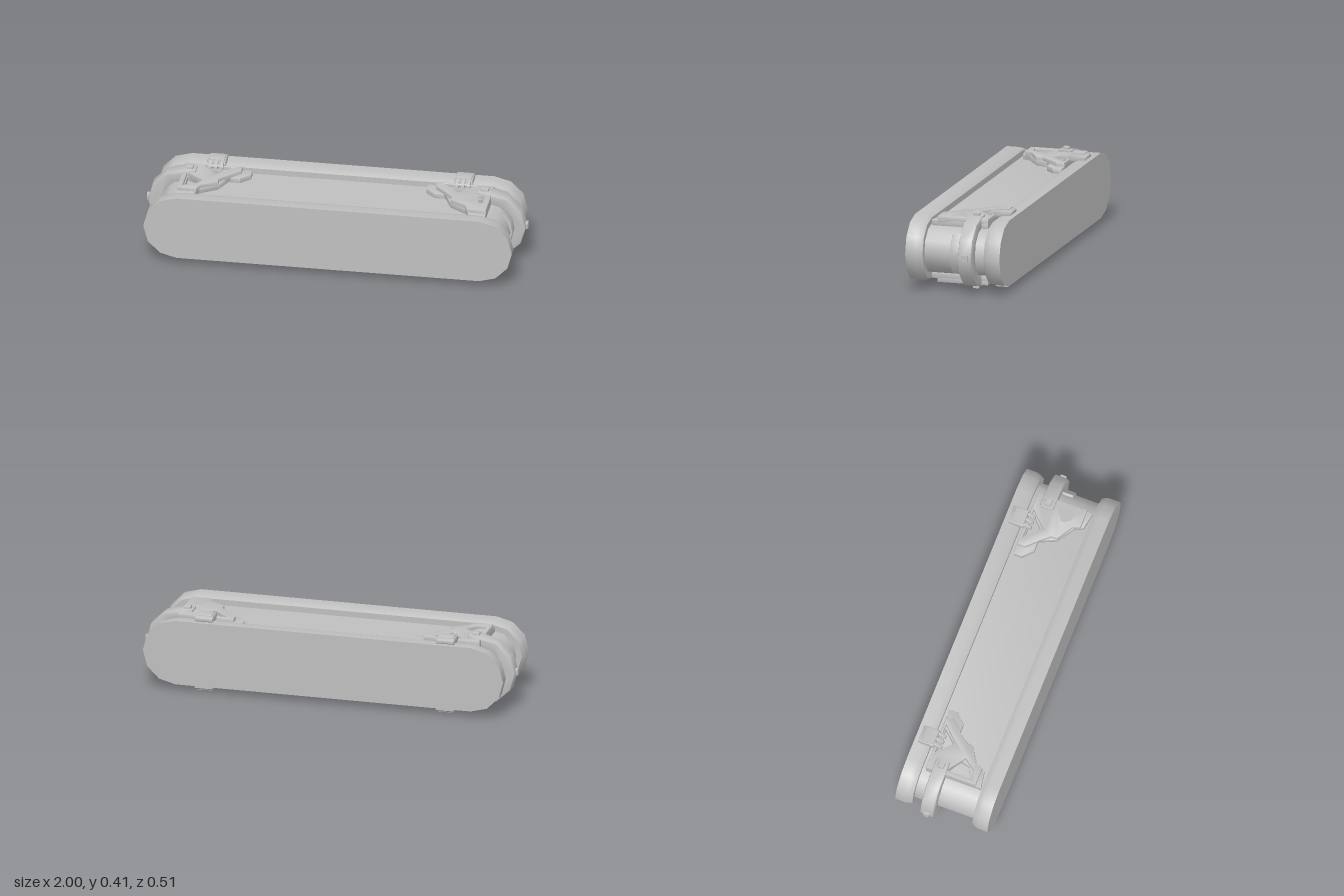
import * as THREE from 'three';
import { toCreasedNormals } from 'three/addons/utils/BufferGeometryUtils.js';

const CY = 0.207; // height of the long axis
const CX = 0.793; // centre of each rounded end

export function createModel() {
  const model = new THREE.Group();
  model.name = 'case';
  const grey = new THREE.MeshStandardMaterial({ color: 0xbfbfbf });
  grey.name = 'grey';

  const add = (parent, name, geometry) => {
    const mesh = new THREE.Mesh(toCreasedNormals(geometry, 0.7), grey);
    mesh.name = name;
    parent.add(mesh);
    return mesh;
  };

  // Capped stadium cross-sections [radius, z], listed from front to back
  function stadium(sections) {
    const pos = [], index = [], n = 14;
    for (const [r, z] of sections) {
      for (let i = 0; i < n; i++) {
        const right = i < 7;
        const a = -Math.PI / 2 + (right ? i : i - 1) * Math.PI / 6;
        pos.push((right ? CX : -CX) + r * Math.cos(a), r * Math.sin(a), z);
      }
    }
    const last = (sections.length - 1) * n;
    for (let i = 0; i < n; i++) {
      const j = (i + 1) % n;
      for (let k = 0; k < last; k += n) {
        index.push(k + i, k + n + i, k + j, k + j, k + n + i, k + n + j);
      }
      if (i > 0 && i < n - 1) index.push(0, i, i + 1, last, last + i + 1, last + i);
    }
    const g = new THREE.BufferGeometry();
    g.setAttribute('position', new THREE.Float32BufferAttribute(pos, 3));
    g.setIndex(index);
    return g.translate(0, CY, 0);
  }

  // Extrusion from 0 to depth whose bevel stays inside the outline
  function slab(points, depth, bevel, holes = []) {
    const shape = new THREE.Shape(points.map(p => new THREE.Vector2(...p)));
    for (const h of holes) shape.holes.push(new THREE.Path(h.map(p => new THREE.Vector2(...p))));
    return new THREE.ExtrudeGeometry(shape, {
      depth: depth - 2 * bevel, bevelEnabled: bevel > 0, bevelThickness: bevel,
      bevelSize: bevel, bevelOffset: -bevel, bevelSegments: 2, steps: 1,
    }).translate(0, 0, bevel);
  }

  // Horizontal plate drawn in x, z
  const plate = (s, y, depth, bevel, points, holes = []) => {
    const flat = list => list.map(([x, z]) => [s * x, -z]);
    return slab(flat(points), depth, bevel, holes.map(flat)).rotateX(-Math.PI / 2).translate(0, y, 0);
  };

  // Profile drawn in z, y and extruded along x
  const sideProfile = (x, width, bevel, points) =>
    slab(points.map(([z, y]) => [-z, y]), width, bevel)
      .rotateY(Math.PI / 2).translate(x - width / 2, 0, 0);

  const block = (w, h, d, x, y, z) => {
    const b = 0.006;
    return slab([[-w / 2, -h / 2], [w / 2, -h / 2], [w / 2, h / 2], [-w / 2, h / 2]], d, b)
      .translate(x, y, z - d / 2);
  };

  // Body and the two lids
  add(model, 'body', stadium([[0.129, 0.17], [0.129, -0.17]]));
  add(model, 'frontLid', stadium([[0.174, 0.256], [0.174, 0.2], [0.168, 0.18], [0.16, 0.166]]));
  add(model, 'backLid', stadium([[0.16, -0.165], [0.168, -0.18], [0.174, -0.2], [0.174, -0.255]]));

  // Curved strap around each end, with its end button
  const arc = (rx, ry, limit, steps) => Array.from({ length: steps + 1 }, (_, i) => {
    const a = -limit + 2 * limit * i / steps;
    return [CX + rx * Math.cos(a), ry * Math.sin(a)];
  });
  for (const s of [1, -1]) {
    const end = new THREE.Group();
    end.name = s > 0 ? 'leftStrap' : 'rightStrap';
    const outline = [[0.74, -0.187], ...arc(0.199, 0.187, Math.PI / 2, 6), [0.74, 0.187],
      [0.74, 0.125], ...arc(0.125, 0.125, Math.PI / 2, 6).reverse(), [0.74, -0.125]];
    add(end, 'strap', slab(outline.map(([x, y]) => [s * x, y]), 0.075, 0.01).translate(0, CY, -0.11));
    add(end, 'strapButton', block(0.03, 0.036, 0.036, s * 0.985, CY + 0.002, -0.073));
    model.add(end);
  }

  // Raised pad beside the strap on the left end
  add(model, 'endPad', slab(
    [...arc(0.14, 0.14, 0.85, 4), ...arc(0.115, 0.115, 0.85, 4).reverse()], 0.065, 0.005,
  ).translate(0, CY, -0.04));

  // Corner brackets and latches, on top and turned over underneath
  function corner(s) {
    const g = new THREE.Group();
    g.name = 'cornerFitting';
    add(g, 'bracketBase', plate(s, 0.33, 0.033, 0.003, [
      [0.81, 0.16], [0.72, 0.145], [0.7, 0.1], [0.61, 0.04], [0.57, -0.05],
      [0.51, -0.05], [0.46, -0.1], [0.46, -0.145], [0.81, -0.145]],
    [[[0.78, 0.085], [0.72, 0.065], [0.705, 0.01], [0.78, -0.035]],
      [[0.7, -0.125], [0.57, -0.125], [0.63, -0.06]]]));
    add(g, 'bracketFrame', plate(s, 0.345, 0.039, 0.005, [
      [0.81, 0.13], [0.71, 0.13], [0.695, 0.09], [0.61, 0.04], [0.61, 0.005],
      [0.565, -0.045], [0.51, -0.1], [0.51, -0.145], [0.81, -0.145]],
    [[[0.785, 0.1], [0.735, 0.09], [0.69, 0.03], [0.785, -0.04]],
      [[0.715, -0.13], [0.55, -0.13], [0.635, -0.045]]]));
    add(g, 'frameButton', block(0.036, 0.03, 0.036, s * 0.775, 0.391, -0.073));

    // Latch hooked over the back lid
    const x = s * 0.648;
    add(g, 'latchBody', sideProfile(x, 0.095, 0.004, [
      [-0.14, 0.385], [-0.147, 0.408], [-0.218, 0.408], [-0.234, 0.398],
      [-0.234, 0.386], [-0.22, 0.373], [-0.15, 0.373]]));
    add(g, 'latchPad', block(0.08, 0.016, 0.071, x, 0.405, -0.1825));
    for (const dx of [-0.03, 0, 0.03]) {
      add(g, 'latchProng', sideProfile(x + dx, 0.018, 0.003, [
        [-0.105, 0.37], [-0.108, 0.388], [-0.125, 0.4], [-0.152, 0.408],
        [-0.16, 0.385], [-0.13, 0.37]]));
    }
    add(g, 'latchPin', new THREE.CylinderGeometry(0.008, 0.008, 0.075, 10)
      .rotateZ(Math.PI / 2).translate(x, 0.386, -0.122));
    return g;
  }
  for (const s of [1, -1]) {
    model.add(corner(s));
    const under = corner(s);
    under.rotation.z = Math.PI;
    under.position.y = 2 * CY;
    model.add(under);
  }
  return model;
}
